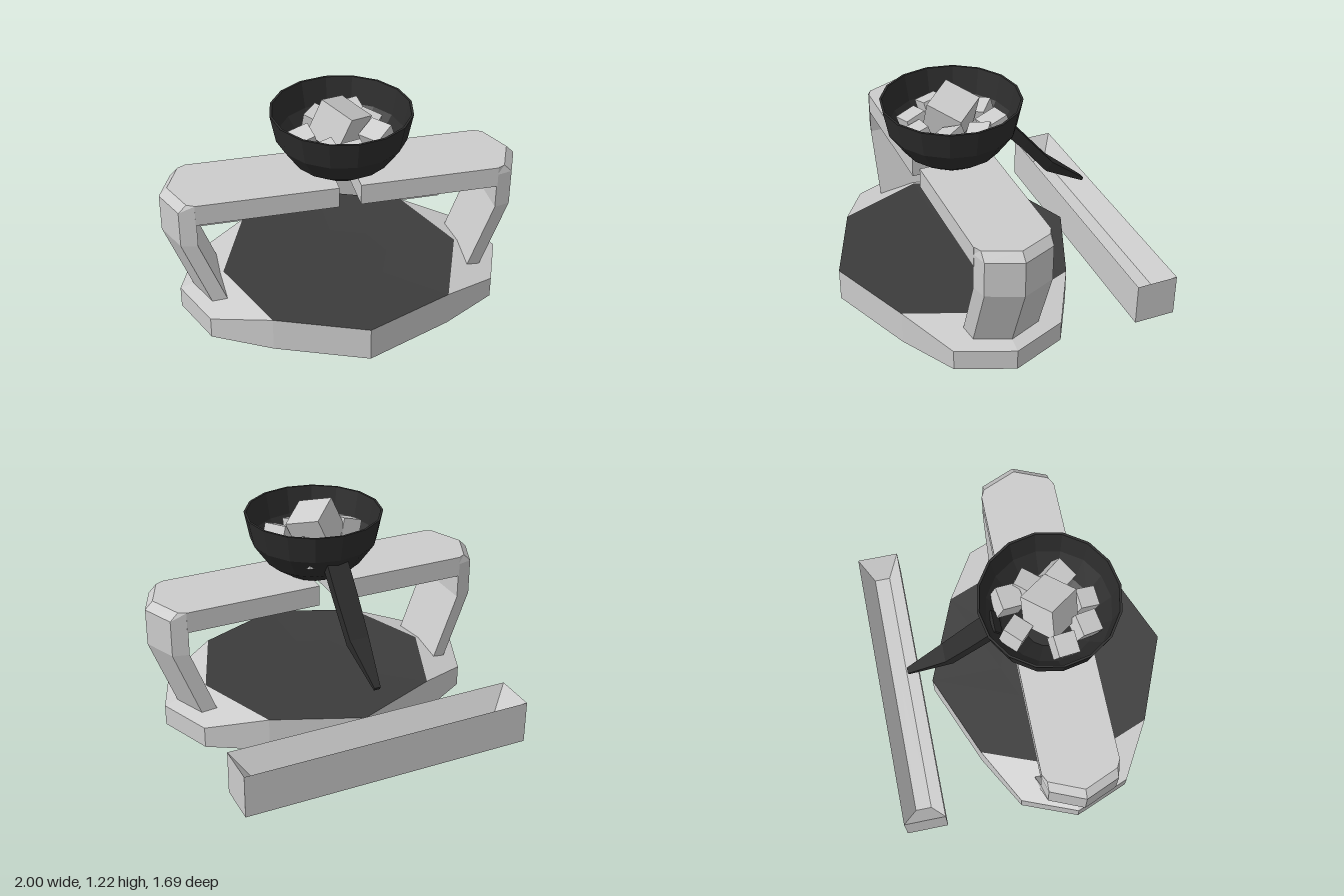
import * as THREE from 'three';

const mat = (color) => new THREE.MeshStandardMaterial({ color, flatShading: true });
const grey = mat(0xcccccc);
const plateDark = mat(0x3c3c3c);
const bowlDark = mat(0x2c2c2c);
bowlDark.side = THREE.DoubleSide;

function addMesh(parent, name, geometry, material = grey) {
  const mesh = new THREE.Mesh(geometry, material);
  mesh.name = name;
  parent.add(mesh);
  return mesh;
}

// Skin a series of equal-sized rings of [x, y, z] points, with optional end caps
function loft(rings, capStart = true, capEnd = true) {
  const pos = [];
  const n = rings[0].length;
  const tri = (a, b, c) => pos.push(...a, ...b, ...c);
  for (let r = 0; r < rings.length - 1; r++) {
    for (let i = 0; i < n; i++) {
      const j = (i + 1) % n;
      const [p, q] = [rings[r], rings[r + 1]];
      tri(p[i], q[i], p[j]);
      tri(p[j], q[i], q[j]);
    }
  }
  const cap = (ring, flip) => {
    const c = [0, 1, 2].map((k) => ring.reduce((s, p) => s + p[k], 0) / n);
    for (let i = 0; i < n; i++) {
      const [a, b] = [ring[i], ring[(i + 1) % n]];
      if (flip) tri(c, b, a);
      else tri(c, a, b);
    }
  };
  if (capStart) cap(rings[0], false);
  if (capEnd) cap(rings[rings.length - 1], true);
  const g = new THREE.BufferGeometry();
  g.setAttribute('position', new THREE.Float32BufferAttribute(pos, 3));
  g.computeVertexNormals();
  return g;
}

// Complete a quarter outline (+x to +z) into a closed ring
function fourfold(quarter) {
  const half = [...quarter, ...quarter.slice(0, -1).reverse().map(([x, y, z]) => [-x, y, z])];
  return [...half, ...half.slice(1, -1).reverse().map(([x, y, z]) => [x, y, -z])];
}

function addBase(parent) {
  const outer = fourfold([[0.927, 0.122, 0], [0.802, 0.122, 0.313], [0.49, 0.195, 0.49], [0, 0.195, 0.69]]);
  const inner = fourfold([[0.68, 0.195, 0], [0.585, 0.195, 0.245], [0.49, 0.195, 0.49], [0, 0.195, 0.69]]);
  const bottom = outer.map(([x, , z]) => [x, 0, z]);
  addMesh(parent, 'base', loft([bottom, outer, inner], true, false));
  const dip = inner.map(([x, , z]) => [x * 0.4, 0.185, z * 0.4]);
  addMesh(parent, 'basePlate', loft([inner, dip], false, true), plateDark);
}

// One half of the arch: a horizontal arm and a bent, ridged leg
function addArchHalf(parent, name, turn) {
  const half = new THREE.Group();
  half.name = name;
  half.rotation.y = turn;
  parent.add(half);
  const arm = addMesh(half, 'arm', new THREE.BoxGeometry(0.775, 0.12, 0.425));
  arm.position.set(0.4475, 0.735, 0);
  const ring = (y, shift, inset = 0) => [
    [1 - shift - inset, y, 0], [0.92 - shift - inset, y, 0.19],
    [0.83 - shift, y, 0.2125], [0.83 - shift, y, -0.2125],
    [0.92 - shift - inset, y, -0.19],
  ];
  addMesh(half, 'leg', loft([ring(0.14, 0.15), ring(0.54, 0), ring(0.75, 0), ring(0.795, 0, 0.045)]));
}

function addBowl(parent) {
  const profile = [[0, 0.79], [0.145, 0.79], [0.27, 0.875], [0.357, 1.0], [0.388, 1.155],
    [0.375, 1.155], [0.344, 1.005], [0.26, 0.887], [0.14, 0.805], [0, 0.805]];
  addMesh(parent, 'bowl', new THREE.LatheGeometry(profile.map(([x, y]) => new THREE.Vector2(x, y)), 16), bowlDark);

  // Bent tapering handle: [half width, lower y, lower z, upper y, upper z]
  const stations = [
    [0.062, 0.93, -0.265, 0.99, -0.305],
    [0.062, 0.78, -0.4, 0.82, -0.445],
    [0.056, 0.59, -0.555, 0.64, -0.595],
    [0.018, 0.44, -0.81, 0.457, -0.818],
  ];
  addMesh(parent, 'bowlHandle', loft(stations.map(([w, y0, z0, y1, z1]) => [
    [w, y0, z0], [w, y1, z1], [-w, y1, z1], [-w, y0, z0],
  ])), bowlDark);
}

// Loose cubes heaped in the bowl
function addCubes(parent) {
  const lumps = new THREE.Group();
  lumps.name = 'cubes';
  parent.add(lumps);
  const cubes = [ // size, x, y, z, rotations
    [0.21, -0.012, 1.062, 0, 0, 0.72, -0.42],
    [0.12, -0.09, 0.98, -0.2, 0.4, 0.8, 0.2],
    [0.13, 0.1, 0.99, -0.21, 0.3, 0.15, 0.1],
    [0.12, 0.165, 0.98, -0.1, 0.5, 0.9, 0.3],
    [0.12, -0.215, 1.0, 0.035, 0.2, 0.1, 0.3],
    [0.13, 0.18, 1.0, 0.08, 0.3, 0.6, 0.5],
    [0.12, -0.12, 0.98, 0.175, 0.3, 0.2, 0.2],
    [0.11, 0.02, 0.98, 0.2, 0.3, 0.1, 0.1],
  ];
  for (const [s, x, y, z, rx, ry, rz] of cubes) {
    const cube = addMesh(lumps, 'cube', new THREE.BoxGeometry(s, s, s));
    cube.position.set(x, y, z);
    cube.rotation.set(rx, ry, rz, 'ZYX');
  }
}

// Open tray with sloping inner walls
function addTray(parent) {
  const rect = (x, y, z) => [[x, y, -z], [x, y, z], [-x, y, z], [-x, y, -z]];
  const tray = addMesh(parent, 'tray',
    loft([rect(0.832, 0, 0.12), rect(0.832, 0.248, 0.12), rect(0.735, 0.12, 0.045)]));
  tray.position.z = -0.725;
}

export function createModel() {
  const model = new THREE.Group();
  model.name = 'bowlOnStand';
  const stand = new THREE.Group();
  stand.name = 'stand';
  stand.position.z = 0.154;
  model.add(stand);
  addBase(stand);
  addArchHalf(stand, 'leftArch', 0);
  addArchHalf(stand, 'rightArch', Math.PI);
  addBowl(stand);
  addCubes(stand);
  addTray(model);
  return model;
}
